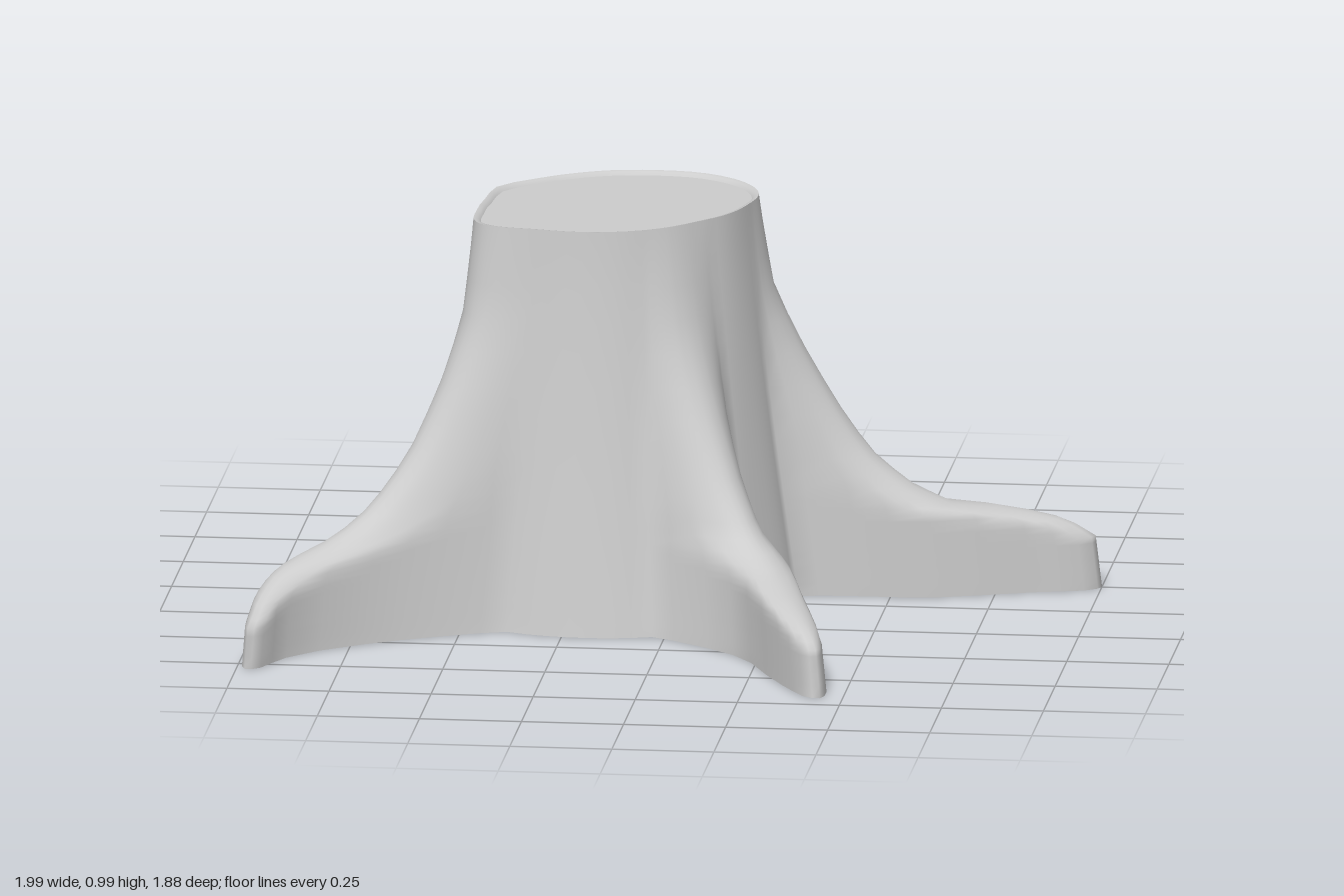
import * as THREE from 'three';

const TOP = 0.985, CX = -0.16, CZ = -0.05;
const RAD = Math.PI / 180;

// trunk radius every 20 degrees (angle from +x towards +z), at the ground and at the cut
const GROUND = [0.435, 0.41, 0.42, 0.435, 0.445, 0.455, 0.47, 0.48, 0.455, 0.43, 0.425, 0.41, 0.41, 0.43, 0.45, 0.48, 0.49, 0.45];
const CUT = [0.315, 0.295, 0.28, 0.29, 0.305, 0.325, 0.35, 0.405, 0.355, 0.325, 0.33, 0.305, 0.3, 0.31, 0.325, 0.35, 0.36, 0.35];

// share of a root's length left at each ridge height; heights run from tip to cut
const REACH = [1, 0.92, 0.75, 0.55, 0.42, 0.3, 0.2, 0.1, 0.03, 0];
const ROOTS = [
  { angle: -24, spread: 21, path: [[0.6, -0.185], [0.8, -0.235], [1, -0.255]],
    ridge: [0.13, 0.17, 0.2, 0.22, 0.27, 0.35, 0.47, 0.62, 0.75, TOP] },
  { angle: 53, spread: 20, path: [[0.275, 0.5], [0.35, 0.7], [0.445, 0.935]],
    ridge: [0.12, 0.15, 0.18, 0.205, 0.23, 0.27, 0.38, 0.55, 0.72, TOP] },
  { angle: 138, spread: 19, path: [[-0.78, 0.47], [-0.925, 0.62], [-0.98, 0.8]],
    ridge: [0.1, 0.15, 0.2, 0.24, 0.28, 0.36, 0.46, 0.61, 0.75, TOP] },
  { angle: 249, spread: 18, path: [[-0.405, -0.65], [-0.455, -0.8], [-0.485, -0.94]],
    ridge: [0.06, 0.1, 0.14, 0.18, 0.22, 0.29, 0.43, 0.6, 0.75, TOP] },
];

// root outline on the ground: [share of half width, share of length]
const OUTLINE = [[0, 1], [0.12, 0.985], [0.24, 0.94], [0.31, 0.86], [0.37, 0.77], [0.44, 0.62],
  [0.52, 0.45], [0.6, 0.33], [0.7, 0.21], [0.85, 0.07], [1, 0]];

const LEVELS = [0, 0.03, 0.06, 0.08, 0.1, 0.115, 0.13, 0.145, 0.16, 0.175, 0.19, 0.205, 0.22, 0.24,
  0.265, 0.3, 0.34, 0.39, 0.45, 0.52, 0.6, 0.68, 0.76, 0.84, 0.92, TOP];

// smooth periodic lookup of a radius table
function radiusAt(table, deg) {
  const n = table.length, f = (((deg % 360) + 360) % 360) / 20, i = Math.floor(f), t = f - i;
  const p = (k) => table[(i + k + n) % n];
  const a = p(-1), b = p(0), c = p(1), d = p(2);
  return b + 0.5 * t * (c - a + t * (2 * a - 5 * b + 4 * c - d + t * (3 * (b - c) + d - a)));
}

function trunkPoint(deg, y) {
  const flare = Math.pow(1 - y / TOP, 1.2);
  const r = THREE.MathUtils.lerp(radiusAt(CUT, deg), radiusAt(GROUND, deg), flare);
  return new THREE.Vector3(CX + r * Math.cos(deg * RAD), y, CZ + r * Math.sin(deg * RAD));
}

function reachAt(ridge, y) {
  if (y <= ridge[0]) return 1;
  for (let i = 1; i < ridge.length; i++) {
    if (y <= ridge[i]) {
      return THREE.MathUtils.mapLinear(y, ridge[i - 1], ridge[i], REACH[i - 1], REACH[i]);
    }
  }
  return 0;
}

// columns around the stump: root outlines with plain trunk between them
function makeColumns() {
  const columns = [];
  ROOTS.forEach((root, i) => {
    const start = trunkPoint(root.angle, 0);
    const curve = new THREE.CatmullRomCurve3([start, ...root.path.map(([x, z]) => new THREE.Vector3(x, 0, z))]);
    const last = OUTLINE.length - 1;
    for (let k = -last; k <= last; k++) {
      const [side, length] = OUTLINE[Math.abs(k)];
      columns.push({ deg: root.angle + Math.sign(k) * side * root.spread, side, length, curve, start, ridge: root.ridge });
    }
    const next = ROOTS[(i + 1) % ROOTS.length];
    const from = root.angle + root.spread;
    const to = next.angle - next.spread + (i === ROOTS.length - 1 ? 360 : 0);
    for (let k = 1; k < 7; k++) columns.push({ deg: from + (to - from) * k / 7, length: 0 });
  });
  return columns;
}

// trunk point pushed outwards along its root: upright sides under a rounded back
function barkPoint(col, y) {
  const p = trunkPoint(col.deg, y);
  if (col.length === 0) return p;
  const back = reachAt(col.ridge, y) * (1 - col.side * col.side);
  return p.add(col.curve.getPointAt(Math.min(col.length, back))).sub(col.start);
}

// skin over closed rings stacked upwards or inwards
function loft(rings) {
  const n = rings[0].length, index = [];
  for (let j = 0; j < rings.length - 1; j++) {
    for (let i = 0; i < n; i++) {
      const a = j * n + i, b = j * n + (i + 1) % n;
      index.push(a, a + n, b, b, a + n, b + n);
    }
  }
  const geometry = new THREE.BufferGeometry().setFromPoints(rings.flat());
  geometry.setIndex(index);
  geometry.computeVertexNormals();
  return geometry;
}

export function createModel() {
  const group = new THREE.Group();
  group.name = 'treeStump';
  const wood = new THREE.MeshStandardMaterial({ color: 0xcccccc, side: THREE.DoubleSide });
  wood.name = 'greyWood';
  const add = (name, rings) => {
    const mesh = new THREE.Mesh(loft(rings), wood);
    mesh.name = name;
    group.add(mesh);
  };

  // bark with four spreading roots, open underneath
  const columns = makeColumns();
  const bark = LEVELS.map((y) => columns.map((c) => barkPoint(c, y)));
  add('barkAndRoots', bark);

  // thin lip and slightly sunken cut face
  const rim = bark[bark.length - 1];
  const inset = (scale, y) => rim.map((p) => new THREE.Vector3(CX + (p.x - CX) * scale, y, CZ + (p.z - CZ) * scale));
  add('rimLip', [rim, inset(0.97, TOP - 0.002), inset(0.95, TOP - 0.01)]);
  add('cutFace', [inset(0.95, TOP - 0.01), inset(0, TOP - 0.01)]);
  return group;
}
